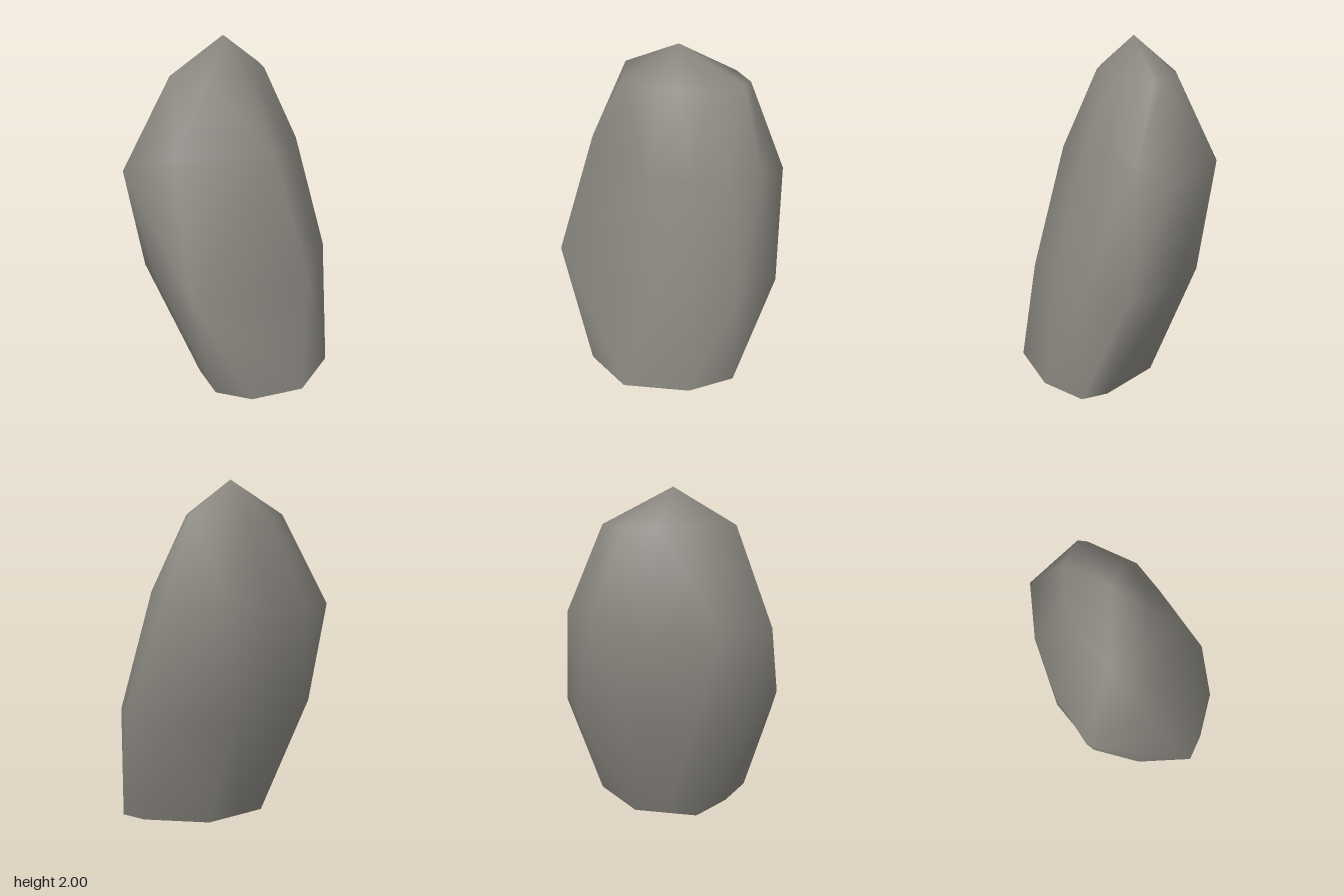
import * as THREE from 'three';

// Horizontal cross-sections, bottom to top: height, then ten [x, z] corners,
// running from the front round by +x to the back. A third value overrides the height.
const RINGS = [
  { y: 0, points: [[0.37, 0.51], [0.59, 0.17], [0.62, -0.12], [0.49, -0.21], [0.1, -0.27],
    [-0.06, -0.16], [-0.22, -0.05], [-0.21, 0.23], [-0.14, 0.49], [0.06, 0.59]] },
  { y: 0.66, points: [[0.42, 0.35], [0.52, 0.12], [0.62, -0.13], [0.57, -0.41], [0.31, -0.53],
    [-0.05, -0.49], [-0.38, -0.27], [-0.52, 0.08], [-0.45, 0.36], [-0.28, 0.63]] },
  { y: 1.36, points: [[0.23, 0.26], [0.34, 0.05], [0.43, -0.15], [0.42, -0.35], [0.36, -0.54, 1.29],
    [0.02, -0.63], [-0.24, -0.45, 1.27], [-0.49, -0.15, 1.27], [-0.63, 0.12, 1.26], [-0.35, 0.35]] },
  { y: 1.8, points: [[0.05, 0.14], [0.14, 0.04], [0.22, -0.11], [0.22, -0.34], [0.2, -0.39],
    [0.04, -0.39], [-0.13, -0.28], [-0.26, -0.1], [-0.35, 0.12], [-0.14, 0.23]] },
];
const PEAK = [-0.03, 2, -0.06];

// Skin the rings into an open-bottomed shell closed by a single peak
function loftToPeak(rings, peak) {
  const n = rings[0].points.length;
  const corners = rings.flatMap((ring) =>
    ring.points.map(([x, z, y = ring.y]) => new THREE.Vector3(x, y, z)));
  corners.push(new THREE.Vector3(...peak));
  const peakIndex = corners.length - 1;

  // Split each quad along the diagonal that bulges outwards
  const index = [];
  const edge = (from, to) => corners[to].clone().sub(corners[from]);
  for (let r = 0; r < rings.length; r++) {
    for (let i = 0; i < n; i++) {
      const a = r * n + i;
      const b = r * n + (i + 1) % n;
      const c = b + n;
      const d = a + n;
      if (r === rings.length - 1) index.push(a, b, peakIndex);
      else if (edge(a, b).cross(edge(a, c)).dot(edge(a, d)) <= 0) index.push(a, b, c, a, c, d);
      else index.push(a, b, d, b, c, d);
    }
  }
  const geometry = new THREE.BufferGeometry().setFromPoints(corners);
  geometry.setIndex(index);
  geometry.computeVertexNormals();
  return geometry;
}

export function createModel() {
  const group = new THREE.Group();
  group.name = 'standingStone';

  const stone = new THREE.MeshStandardMaterial({ color: 0x8a8780, side: THREE.DoubleSide });
  stone.name = 'warm grey stone';

  // Leaning boulder, smooth shaded, hollow underneath
  const rock = new THREE.Mesh(loftToPeak(RINGS, PEAK), stone);
  rock.name = 'rock';
  group.add(rock);

  return group;
}
